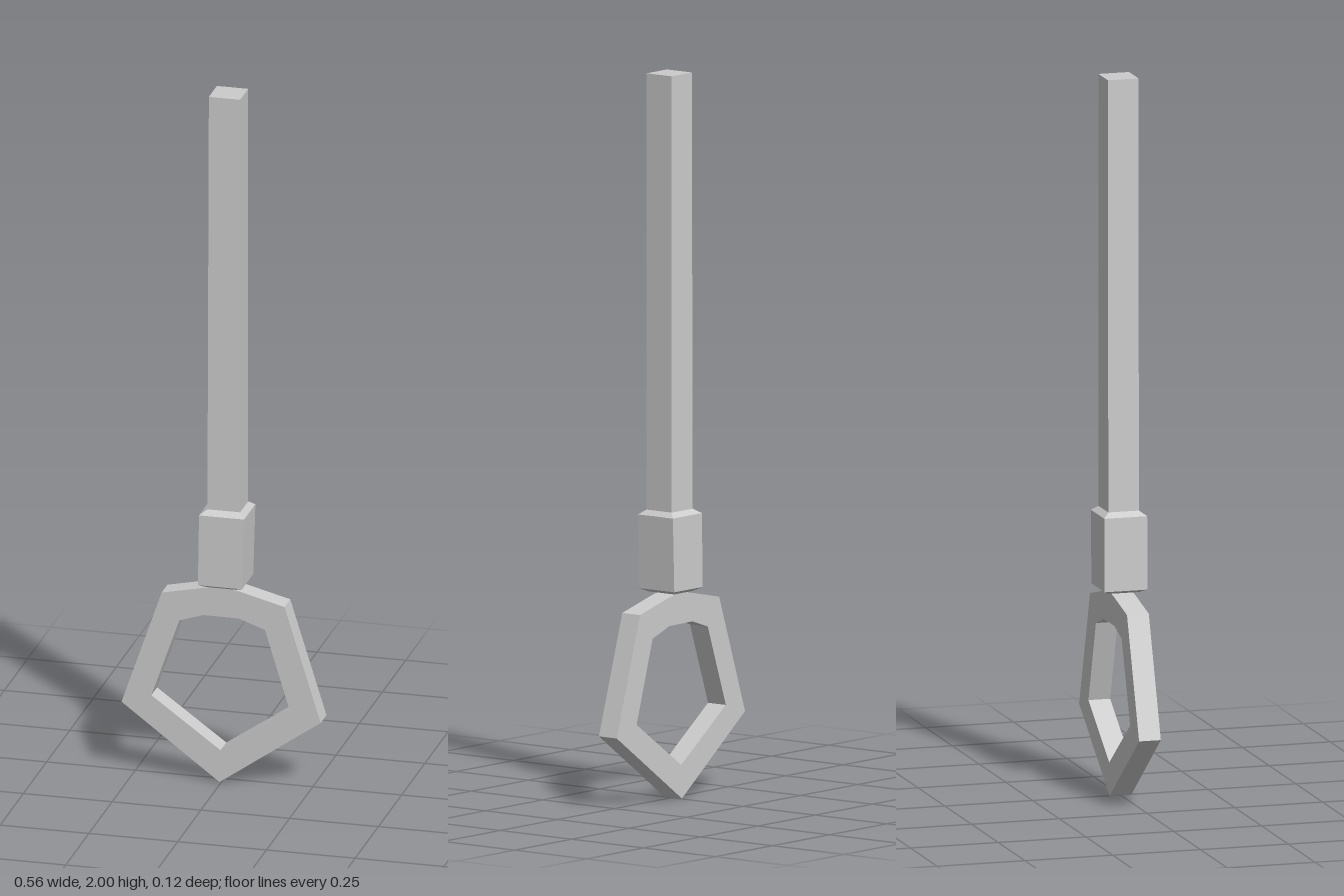
import * as THREE from 'three';

const material = new THREE.MeshStandardMaterial({ color: 0xcccccc, flatShading: true });

// Closed solid lofted through rectangular sections [y, xMin, xMax, zMin, zMax], listed upwards
function loftBoxes(name, sections) {
  const positions = [];
  const index = [];
  for (const [y, x0, x1, z0, z1] of sections) {
    positions.push(x0, y, z1, x1, y, z1, x1, y, z0, x0, y, z0);
  }
  for (let s = 0; s < sections.length - 1; s++) {
    for (let i = 0; i < 4; i++) {
      const a = s * 4 + i;
      const b = s * 4 + (i + 1) % 4;
      index.push(a, b, b + 4, a, b + 4, a + 4);
    }
  }
  const t = (sections.length - 1) * 4;
  index.push(0, 3, 2, 0, 2, 1, t, t + 1, t + 2, t, t + 2, t + 3);
  const indexed = new THREE.BufferGeometry();
  indexed.setAttribute('position', new THREE.Float32BufferAttribute(positions, 3));
  indexed.setIndex(index);
  const geometry = indexed.toNonIndexed();
  geometry.computeVertexNormals();
  const mesh = new THREE.Mesh(geometry, material);
  mesh.name = name;
  return mesh;
}

// Flat angular loop with an open middle
function buildRing() {
  const toPoints = (list) => list.map(([x, y]) => new THREE.Vector2(x, y));
  const shape = new THREE.Shape(toPoints([
    [-0.005, 0.005], [0.28, 0.205], [0.178, 0.533], [0.055, 0.565],
    [0, 0.576], [-0.05, 0.567], [-0.168, 0.542], [-0.281, 0.213],
  ]));
  shape.holes.push(new THREE.Path(toPoints([
    [-0.002, 0.098], [-0.197, 0.24], [-0.118, 0.466], [-0.05, 0.488],
    [0.05, 0.487], [0.123, 0.461], [0.193, 0.232],
  ])));
  const depth = 0.062;
  const geometry = new THREE.ExtrudeGeometry(shape, { depth, bevelEnabled: false });
  geometry.translate(0, -0.005, -depth / 2 - 0.001);
  const mesh = new THREE.Mesh(geometry, material);
  mesh.name = 'ringHandle';
  return mesh;
}

export function createModel() {
  const group = new THREE.Group();
  group.name = 'ringHandledRod';

  // Long square rod, very slightly tapered
  group.add(loftBoxes('shaft', [
    [0.78, -0.036, 0.056, -0.045, 0.042],
    [2.0, -0.032, 0.056, -0.045, 0.042],
  ]));

  // Thicker collar with chamfered ends, leaning slightly
  group.add(loftBoxes('collar', [
    [0.57, -0.036, 0.045, -0.045, 0.042],
    [0.58, -0.058, 0.066, -0.062, 0.06],
    [0.784, -0.055, 0.072, -0.062, 0.06],
    [0.797, -0.036, 0.057, -0.045, 0.042],
  ]));

  group.add(buildRing());
  return group;
}
